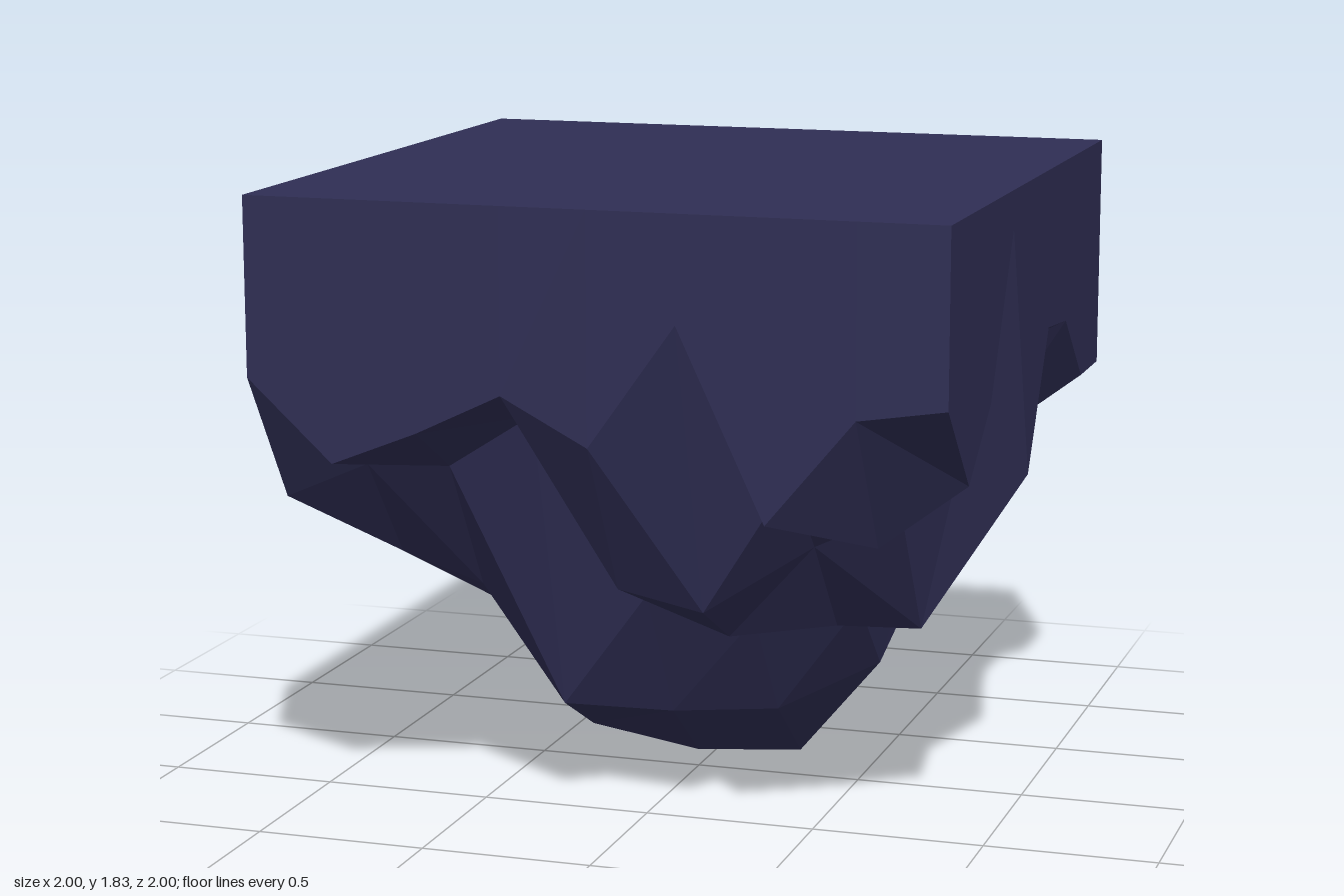
import * as THREE from 'three';

const TOP = 1.83, N = 8, STEP = 2 / N;

// Height of the rocky underside: rows run from z = -1 to 1, columns from x = -1 to 1
const HEIGHTS = [
  [1.57, 1.07, 1.49, 1.68, 1.01, 0.85, 1.57, 1.18, 1.13],
  [1.14, 0.95, 0.93, 1.00, 0.98, 0.97, 0.70, 0.94, 1.13],
  [1.22, 0.95, 0.58, 0.45, 0.39, 0.58, 0.62, 0.95, 1.34],
  [1.41, 0.85, 0.64, 0.35, 0.25, 0.00, 0.30, 1.23, 1.36],
  [1.14, 0.80, 0.49, 0.40, 0.05, 0.20, 0.54, 0.68, 0.97],
  [1.16, 0.80, 0.52, 0.18, 0.24, 0.54, 0.54, 0.55, 1.72],
  [1.46, 0.73, 0.65, 0.31, 0.65, 0.55, 0.83, 0.95, 1.27],
  [0.93, 1.04, 1.05, 1.21, 0.73, 0.68, 1.08, 0.90, 1.09],
  [1.32, 1.09, 1.19, 1.31, 1.18, 1.53, 1.00, 1.30, 1.34],
];
const heightAt = (x, z) =>
  HEIGHTS[Math.round((z + 1) / STEP)][Math.round((x + 1) / STEP)];

// Drop every vertex below the top plane onto the height grid
function dropToRock(geometry) {
  const p = geometry.attributes.position;
  for (let i = 0; i < p.count; i++) {
    if (p.getY(i) < TOP - 0.01) p.setY(i, heightAt(p.getX(i), p.getZ(i)));
  }
  geometry.computeVertexNormals();
  return geometry;
}

export function createModel() {
  const group = new THREE.Group();
  group.name = 'floatingRock';
  const material = new THREE.MeshStandardMaterial({ color: 0x2f2e54, flatShading: true });
  const add = (name, geometry) => {
    const mesh = new THREE.Mesh(geometry, material);
    mesh.name = name;
    group.add(mesh);
  };

  // Flat square top
  add('flatTop', new THREE.PlaneGeometry(2, 2).rotateX(-Math.PI / 2).translate(0, TOP, 0));

  // Jagged underside; the quarter turn sets the direction of the facet diagonals
  add('rockUnderside', dropToRock(
    new THREE.PlaneGeometry(2, 2, N, N).rotateZ(Math.PI / 2).rotateX(Math.PI / 2)));

  // Four upright walls with a ragged lower edge
  ['frontWall', 'leftWall', 'backWall', 'rightWall'].forEach((name, i) => {
    add(name, dropToRock(
      new THREE.PlaneGeometry(2, 1, N, 1)
        .translate(0, TOP - 0.5, 1)
        .rotateY(i * Math.PI / 2)));
  });

  return group;
}
